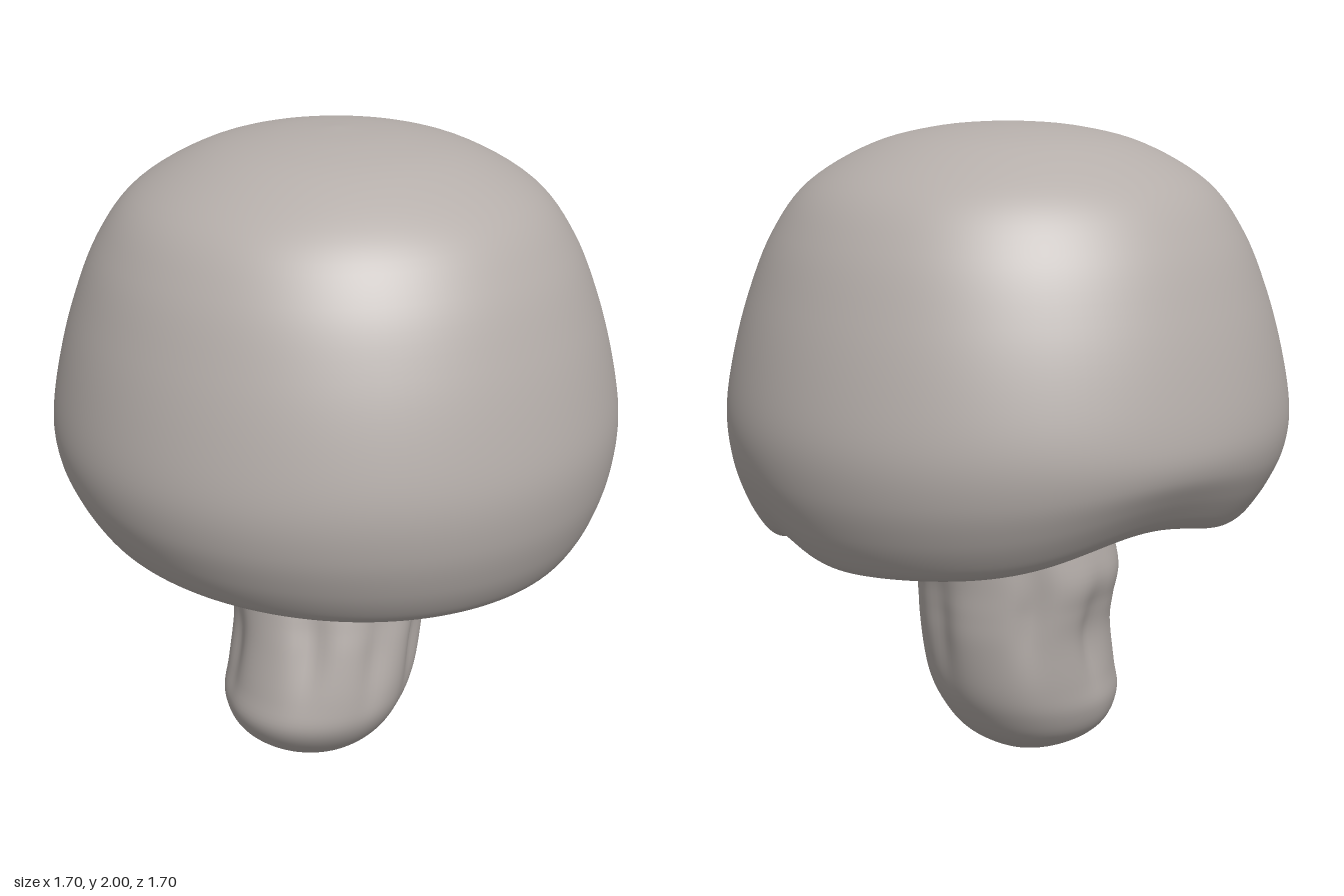
import * as THREE from 'three';
import { mergeVertices } from 'three/addons/utils/BufferGeometryUtils.js';

// Closed ring-by-ring surface, rows running from the top down
function loft(rows, segs, point) {
  const pos = [], index = [];
  for (let i = 0; i <= rows; i++)
    for (let j = 0; j < segs; j++) pos.push(...point(i / rows, (j / segs) * Math.PI * 2));
  for (let i = 0; i < rows; i++)
    for (let j = 0; j < segs; j++) {
      const k = (j + 1) % segs;
      const a = i * segs + j, b = i * segs + k, c = a + segs, d = b + segs;
      index.push(a, c, d, a, d, b);
    }
  let geo = new THREE.BufferGeometry();
  geo.setAttribute('position', new THREE.Float32BufferAttribute(pos, 3));
  geo.setIndex(index);
  geo = mergeVertices(geo, 1e-5);
  geo.computeVertexNormals();
  return geo;
}

// Bell-shaped falloff around an angle
function bump(th, centre, width) {
  const d = Math.atan2(Math.sin(th - centre), Math.cos(th - centre));
  return Math.exp(-((d / width) ** 2));
}

// Dome, rolled rim and hollow underside in one profile (radius, height)
function capGeometry() {
  const profile = new THREE.SplineCurve([
    [0, 2], [0.2, 1.985], [0.4, 1.935], [0.59, 1.825], [0.7, 1.68], [0.775, 1.5], [0.825, 1.32],
    [0.85, 1.16], [0.838, 1.03], [0.8, 0.92], [0.755, 0.84], [0.72, 0.803], [0.69, 0.795],
    [0.655, 0.82], [0.61, 0.88], [0.52, 0.96], [0.4, 1.02], [0.25, 1.04],
  ].map(([r, y]) => new THREE.Vector2(r, y)));
  const rimT = 12 / 17;
  return loft(102, 160, (t, th) => {
    const p = profile.getPoint(t);
    const r = Math.max(p.x, 0);
    let x = r * Math.sin(th), z = r * Math.cos(th), y = p.y;
    // tilted rim with two lifted waves at the back
    const w = t < rimT
      ? THREE.MathUtils.smoothstep(1.2 - y, 0, 0.4)
      : THREE.MathUtils.smoothstep(r, 0.3, 0.66);
    y += w * (-0.063 * x + 0.08 * bump(th, -2.356, 0.4) + 0.05 * bump(th, 2.256, 0.24));
    // gill folds
    if (t > rimT) {
      const g = Math.sin(Math.PI * THREE.MathUtils.clamp((0.67 - r) / 0.42, 0, 1));
      y += g * 0.018 * (Math.sin(th * 19 + Math.sin(th * 3)) + 0.4 * Math.sin(th * 31));
    }
    return [x, y, z];
  });
}

// Stalk from oval sections: height, x range, z range
function stemGeometry() {
  const sections = [
    [1.06, -0.40, 0.41, -0.39, 0.39], [0.93, -0.35, 0.36, -0.335, 0.335],
    [0.8, -0.32, 0.32, -0.31, 0.315], [0.65, -0.345, 0.295, -0.30, 0.31],
    [0.55, -0.328, 0.29, -0.295, 0.33], [0.45, -0.315, 0.285, -0.285, 0.355],
    [0.3, -0.325, 0.27, -0.255, 0.385], [0.2, -0.333, 0.24, -0.215, 0.392],
    [0.11, -0.295, 0.18, -0.15, 0.335], [0.045, -0.2, 0.095, -0.05, 0.24],
    [0.01, -0.08, 0.0, 0.04, 0.12], [0.003, -0.04, -0.04, 0.08, 0.08],
  ];
  const curve = (a, b) => new THREE.CatmullRomCurve3(
    sections.map(s => new THREE.Vector3(s[a], s[0], s[b])), false, 'catmullrom', 0.5);
  const xs = curve(1, 2), zs = curve(3, 4);
  // shallow vertical dents: angle, height, depth
  const dents = [
    [0.12, 0.5, 0.03], [-0.95, 0.42, 0.02], [0.85, 0.45, 0.025], [1.5, 0.42, 0.025],
    [2.5, 0.5, 0.02], [-2.0, 0.45, 0.03], [-2.75, 0.58, 0.025], [1.95, 0.68, 0.015],
  ];
  return loft(66, 96, (t, th) => {
    const px = xs.getPoint(t), pz = zs.getPoint(t);
    const y = Math.max(px.y, 0);
    let k = 1;
    for (const [a, h, depth] of dents)
      k -= (depth / 0.32) * bump(th, a, 0.17) * Math.exp(-(((y - h) / 0.17) ** 2));
    return [
      (px.x + px.z) / 2 + k * Math.sin(th) * (px.z - px.x) / 2,
      y,
      (pz.x + pz.z) / 2 + k * Math.cos(th) * (pz.z - pz.x) / 2,
    ];
  });
}

export function createModel() {
  const grey = new THREE.MeshStandardMaterial({ color: 0xb5aeaa });
  grey.name = 'warm grey';
  grey.side = THREE.DoubleSide;

  const group = new THREE.Group();
  group.name = 'mushroom';
  for (const [name, geo] of [['cap', capGeometry()], ['stem', stemGeometry()]]) {
    const mesh = new THREE.Mesh(geo, grey);
    mesh.name = name;
    group.add(mesh);
  }
  return group;
}
